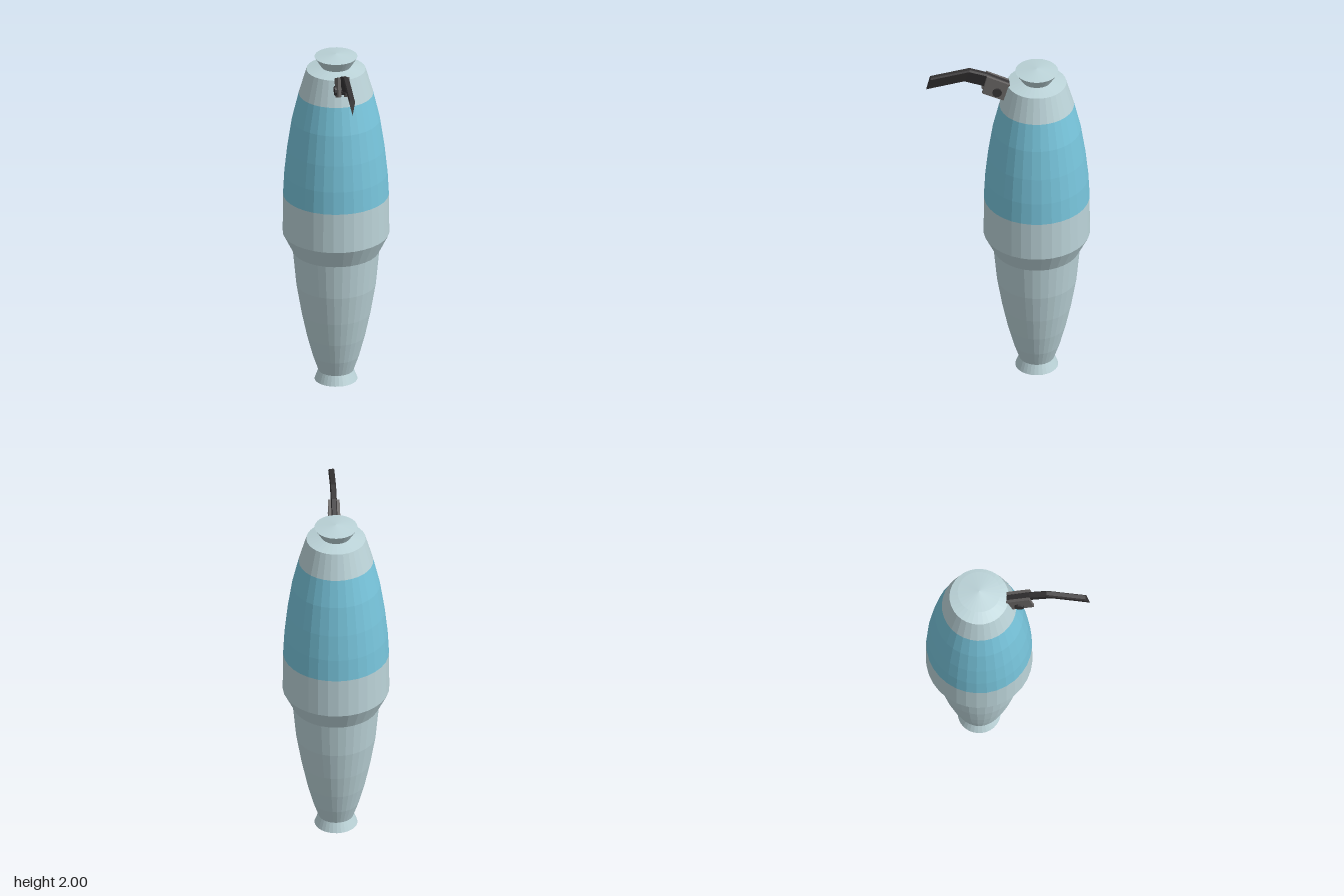
import * as THREE from 'three';

const AXIS_Z = -0.16; // the body sits behind the lever
const paint = (name, color) => {
  const m = new THREE.MeshStandardMaterial({ color });
  m.name = name;
  return m;
};

// faceted normals for the low-poly look
function faceted(geometry) {
  const g = geometry.index ? geometry.toNonIndexed() : geometry;
  g.computeVertexNormals();
  return g;
}

function part(group, name, geometry, material) {
  const mesh = new THREE.Mesh(geometry, material);
  mesh.name = name;
  group.add(mesh);
  return mesh;
}

// solid lofted through pentagonal rings, each given by a top and a bottom point [z, y]
function leverGeometry(stations) {
  const section = [[-0.011, 0], [0.011, 0], [0.017, 0.12], [0, 1], [-0.017, 0.12]];
  const n = section.length, pos = [], idx = [];
  for (const [tz, ty, bz, by] of stations) {
    for (const [x, t] of section) pos.push(x, ty + (by - ty) * t, tz + (bz - tz) * t);
  }
  for (let s = 0; s < stations.length - 1; s++) {
    for (let i = 0; i < n; i++) {
      const a = s * n + i, b = s * n + (i + 1) % n;
      idx.push(a, a + n, b, b, a + n, b + n);
    }
  }
  const last = (stations.length - 1) * n;
  for (let i = 1; i < n - 1; i++) {
    idx.push(0, i, i + 1, last, last + i + 1, last + i);
  }
  const g = new THREE.BufferGeometry();
  g.setAttribute('position', new THREE.Float32BufferAttribute(pos, 3));
  g.setIndex(idx);
  return faceted(g);
}

export function createModel() {
  const model = new THREE.Group();
  model.name = 'grenade';
  const shell = paint('paleShell', 0xbcd4d9);
  const blue = paint('blueBand', 0x78c5dc);
  const dark = paint('darkMetal', 0x343233);
  const grey = paint('greyMetal', 0x676463);

  // turned body, bottom to top, as [radius, height]
  const body = new THREE.Group();
  body.name = 'body';
  body.position.z = AXIS_Z;
  model.add(body);
  const lathe = (name, points, material) => part(body, name,
    faceted(new THREE.LatheGeometry(points.map(p => new THREE.Vector2(...p)), 32)), material);

  lathe('foot', [[0, 0.005], [0.118, 0.025], [0.097, 0.08]], shell);
  lathe('lowerBody', [[0.097, 0.08], [0.128, 0.17], [0.16, 0.29], [0.19, 0.43],
    [0.219, 0.6], [0.238, 0.8]], shell);
  lathe('shoulder', [[0.238, 0.8], [0.293, 0.91], [0.291, 1.14]], shell);
  lathe('band', [[0.291, 1.14], [0.284, 1.27], [0.268, 1.42], [0.242, 1.59], [0.205, 1.745]], blue);
  lathe('upperBody', [[0.205, 1.745], [0.163, 1.89], [0.075, 1.908], [0, 1.908]], shell);
  lathe('topKnob', [[0.078, 1.9], [0.118, 1.965], [0, 1.98]], shell);

  // bent safety lever, from the body outward
  part(model, 'lever', leverGeometry([
    [-0.01, 1.9, 0.015, 1.81],
    [0.115, 1.967, 0.14, 1.885],
    [0.21, 2.0, 0.24, 1.92],
    [0.425, 1.96, 0.45, 1.88],
  ]), dark);

  // hinge plates on both sides of the lever
  const plate = new THREE.Shape([[-0.01, 1.9], [0.026, 1.80], [0.143, 1.855], [0.116, 1.962]]
    .map(p => new THREE.Vector2(...p)));
  for (const side of [1, -1]) {
    const g = new THREE.ExtrudeGeometry(plate, { depth: 0.016, bevelEnabled: false });
    g.rotateY(-Math.PI / 2).translate(side > 0 ? 0.032 : -0.016, 0, 0);
    part(model, side > 0 ? 'leftHingePlate' : 'rightHingePlate', g, grey);
  }

  // hinge pin
  const pin = faceted(new THREE.CylinderGeometry(0.026, 0.026, 0.086, 10).rotateZ(Math.PI / 2));
  part(model, 'hingePin', pin, dark).position.set(0, 1.858, 0.062);

  return model;
}
